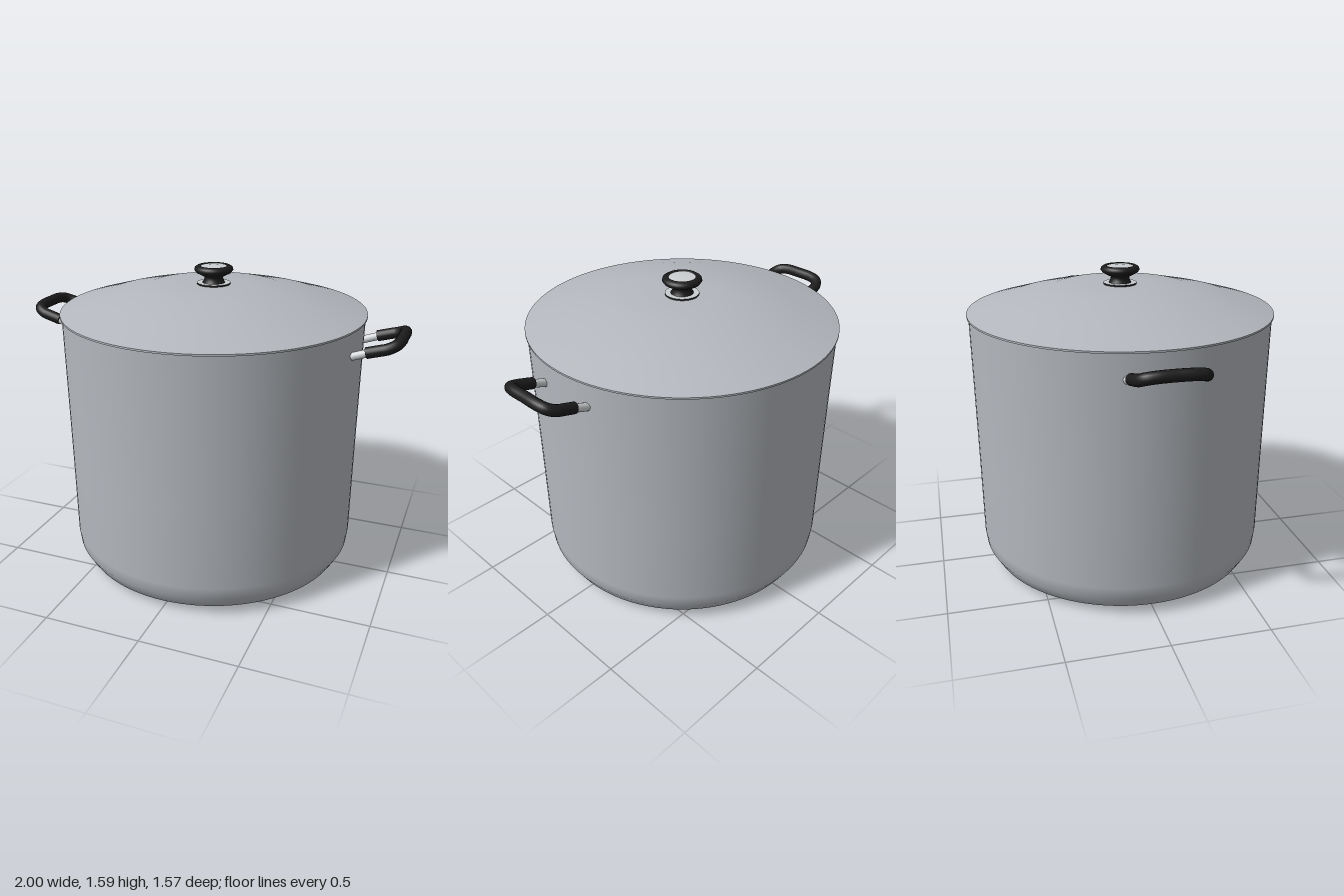
import * as THREE from 'three';

const mat = (name, color) => {
  const m = new THREE.MeshStandardMaterial({ color });
  m.name = name;
  return m;
};

export function createModel() {
  const group = new THREE.Group();
  const steel = mat('brushed steel', 0xb4b8be);
  const bright = mat('bright steel', 0xcccfd2);
  const black = mat('black grip', 0x1c1c1d);

  const add = (parent, name, geometry, material) => {
    const mesh = new THREE.Mesh(geometry, material);
    mesh.name = name;
    parent.add(mesh);
    return mesh;
  };
  const lathe = (points, segments) =>
    new THREE.LatheGeometry(points.map(([r, y]) => new THREE.Vector2(r, y)), segments);

  // Pot body: rounded lower edge, slightly flared wall
  add(group, 'potBody', lathe([
    [0.61, 0.003], [0.66, 0.011], [0.715, 0.042], [0.752, 0.105], [0.76, 0.17],
    [0.764, 0.6], [0.769, 1.0], [0.774, 1.36],
  ], 96), steel);
  const base = add(group, 'potBase', new THREE.CircleGeometry(0.61, 96), steel);
  base.rotation.x = Math.PI / 2;
  base.position.y = 0.003;

  // Lid: shallow dome, thin rim and flat underside
  add(group, 'lidDome', lathe([
    [0.783, 1.369], [0.58, 1.428], [0.345, 1.483], [0.17, 1.494], [0, 1.496],
  ], 96), steel);
  add(group, 'lidRim', lathe([[0.783, 1.36], [0.783, 1.369]], 96), steel);
  const under = add(group, 'lidUnderside', new THREE.CircleGeometry(0.783, 96), steel);
  under.rotation.x = Math.PI / 2;
  under.position.y = 1.36;

  // Knob: washer, black turned grip and inset steel cap
  const knob = new THREE.Group();
  knob.name = 'knob';
  group.add(knob);
  const washer = add(knob, 'knobWasher',
    new THREE.CylinderGeometry(0.085, 0.085, 0.01, 48), [black, bright, black]);
  washer.position.y = 1.498;
  add(knob, 'knobGrip', lathe([
    [0.058, 1.502], [0.05, 1.515], [0.046, 1.532], [0.065, 1.542], [0.09, 1.555],
    [0.099, 1.568], [0.096, 1.58], [0.084, 1.588], [0.07, 1.589], [0.066, 1.584],
  ], 48), black);
  add(knob, 'knobCap', lathe([[0.067, 1.584], [0.04, 1.587], [0, 1.588]], 48), bright);

  // Side handles: two steel rods carrying a bent black grip
  for (const side of [1, -1]) {
    const handle = new THREE.Group();
    handle.name = side > 0 ? 'leftHandle' : 'rightHandle';
    handle.rotation.y = side > 0 ? 0 : Math.PI;
    group.add(handle);

    const half = [
      [0.825, 1.264, 0.152], [0.88, 1.28, 0.152], [0.925, 1.293, 0.149],
      [0.958, 1.308, 0.128], [0.971, 1.316, 0.085],
    ];
    const points = [
      ...half,
      [0.972, 1.318, 0],
      ...half.slice().reverse().map(([x, y, z]) => [x, y, -z]),
    ].map((p) => new THREE.Vector3(...p));
    const path = new THREE.CatmullRomCurve3(points);
    add(handle, 'handleGrip', new THREE.TubeGeometry(path, 64, 0.028, 16), black);

    for (const z of [0.152, -0.152]) {
      const start = new THREE.Vector3(0.755, 1.238, z);
      const end = new THREE.Vector3(0.86, 1.274, z);
      const rod = new THREE.LineCurve3(start, end);
      add(handle, 'handleRod', new THREE.TubeGeometry(rod, 1, 0.02, 16), bright);

      // Flat end of the grip around the rod
      const cap = add(handle, 'gripEnd', new THREE.CircleGeometry(0.028, 16), black);
      cap.position.copy(path.getPoint(z > 0 ? 0 : 1));
      cap.lookAt(cap.position.clone().add(new THREE.Vector3(-0.96, -0.28, 0)
        .applyAxisAngle(new THREE.Vector3(0, 1, 0), 0)));
      cap.quaternion.setFromUnitVectors(
        new THREE.Vector3(0, 0, 1), new THREE.Vector3(-0.96, -0.28, 0).normalize());
    }
  }
  return group;
}
